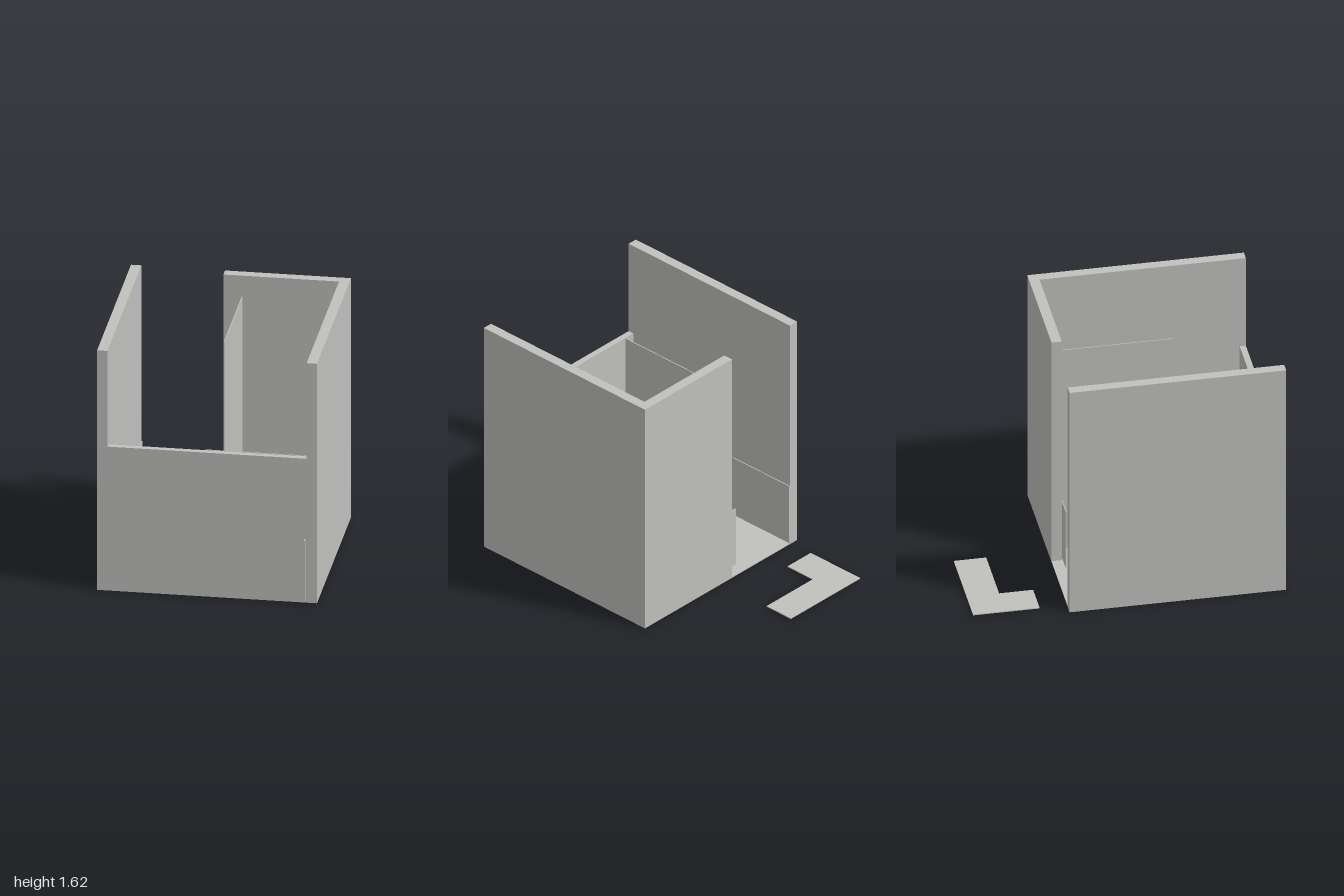
import * as THREE from 'three';

export function createModel() {
  const model = new THREE.Group();
  const plaster = new THREE.MeshStandardMaterial({ color: 0xc0c0bd });
  plaster.name = 'pale grey plaster';

  // Box given by its limits on each axis
  const block = (name, [x0, x1], [y0, y1], [z0, z1]) => {
    const mesh = new THREE.Mesh(new THREE.BoxGeometry(x1 - x0, y1 - y0, z1 - z0), plaster);
    mesh.position.set((x0 + x1) / 2, (y0 + y1) / 2, (z0 + z1) / 2);
    mesh.name = name;
    model.add(mesh);
  };

  const W = 0.69, IN = 0.625, H = 1.615, FRONT = 0.965, BACK = -0.403;

  // Room shell: floor, tall sides, low front, back with a doorway
  block('floor', [-W, W], [0, 0.006], [BACK, FRONT]);
  block('leftWall', [IN, W], [0.006, H], [BACK, FRONT]);
  block('rightWall', [-W, -IN], [0.006, H], [BACK, FRONT]);
  block('frontWall', [-IN, IN], [0.006, 0.97], [0.926, FRONT]);
  block('backWall', [-0.1, IN], [0.006, H], [BACK, -0.338]);

  // Tall thin partition in the middle of the room
  block('partition', [0.015, 0.021], [0.016, 1.475], [-0.33, 0.39]);

  // Low thin panels along the four walls
  const low = [0.018, 0.43];
  block('backPanel', [-0.21, 0.62], low, [-0.335, -0.329]);
  block('frontPanel', [-0.625, 0.207], low, [0.92, 0.926]);
  block('rightPanel', [-0.625, -0.619], low, [BACK, 0.43]);
  block('leftPanel', [0.613, 0.619], low, [0.165, 1]);

  // L-shaped slab lying behind the room
  const corner = [[-0.625, 0.58], [-0.415, 0.58], [-0.415, 0.795], [0.005, 0.795], [0.005, 1], [-0.625, 1]];
  const outline = new THREE.Shape(corner.map(([x, y]) => new THREE.Vector2(x, y)));
  const slab = new THREE.Mesh(
    new THREE.ExtrudeGeometry(outline, { depth: 0.006, bevelEnabled: false }), plaster);
  slab.rotation.x = -Math.PI / 2;
  slab.position.y = 0.009;
  slab.name = 'groundSlab';
  model.add(slab);

  return model;
}
